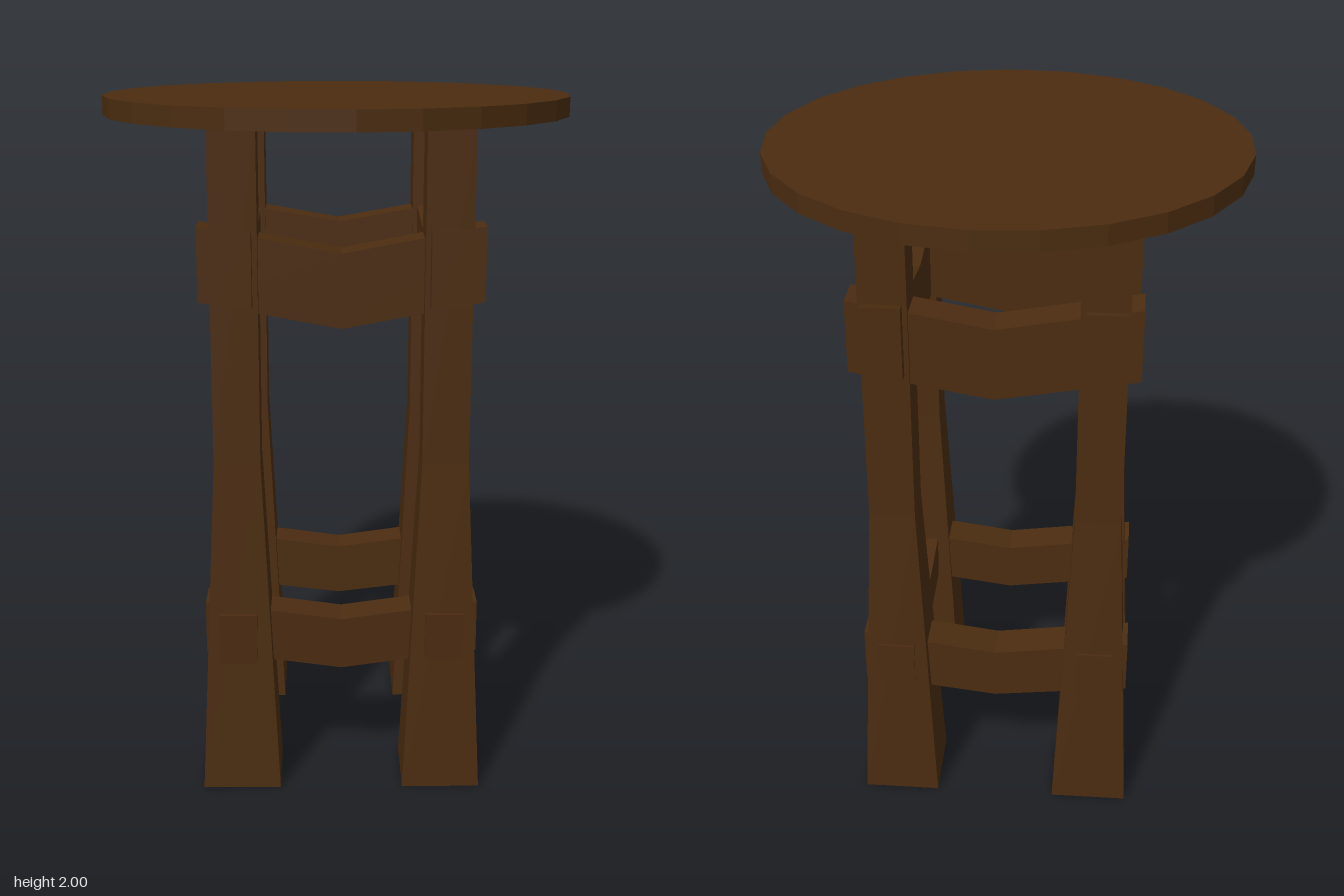
import * as THREE from 'three';

export function createModel() {
  const wood = new THREE.MeshStandardMaterial({ color: 0x4b2c10 });
  wood.name = 'dark wood';
  const bare = new THREE.MeshStandardMaterial({ color: 0xcccccc });
  bare.name = 'pale underside';
  // box faces: +x, -x, +y, -y (underside), +z, -z
  const boxMaterials = [wood, wood, wood, bare, wood, wood];
  const group = new THREE.Group();

  // Reshape a box by a rule applied to each vertex, then give it hard edges
  function shapedBox(name, segments, rule) {
    const box = new THREE.BoxGeometry(2, 2, 2, ...segments);
    const p = box.attributes.position;
    for (let i = 0; i < p.count; i++) {
      p.setXYZ(i, ...rule(p.getX(i), p.getY(i), p.getZ(i)));
    }
    const geometry = box.toNonIndexed();
    geometry.computeVertexNormals();
    const mesh = new THREE.Mesh(geometry, boxMaterials);
    mesh.name = name;
    group.add(mesh);
    return mesh;
  }

  // Round top with 25 sides
  const top = new THREE.CylinderGeometry(0.667, 0.667, 0.055, 25, 1, false, Math.PI / 2).toNonIndexed();
  top.computeVertexNormals();
  const tableTop = new THREE.Mesh(top, wood);
  tableTop.name = 'tableTop';
  tableTop.position.set(-0.003, 1.9725, 0.002);
  group.add(tableTop);

  // Four legs, straight above y = 1 and flared towards the foot
  for (const [side, lx] of [['Right', -0.288], ['Left', 0.302]]) {
    for (const [end, lz] of [['front', 0.3], ['back', -0.296]]) {
      const leg = shapedBox(end + side + 'Leg', [1, 2, 1], (x, y, z) => {
        const half = y < -0.5 ? 0.114 : 0.066;
        return [x * half, y < -0.5 ? 0 : y > 0.5 ? 1.95 : 1, z * half];
      });
      leg.position.set(lx, 0, lz);
    }
  }

  // Sagging rails that pass through the legs; mid and ends are [bottom, top] heights
  function rail(name, across, offset, mid, ends) {
    const r = shapedBox(name, [2, 1, 1], (x, y, z) => {
      const level = Math.abs(x) < 0.5 ? mid : ends;
      return [x * 0.398, level[y > 0 ? 1 : 0], z * 0.055];
    });
    if (across) {
      r.position.set(0.008, 0, offset);
    } else {
      r.rotation.y = Math.PI / 2;
      r.position.set(offset, 0, 0.006);
    }
  }

  const upper = [1.455, 1.665];
  rail('upperFrontRail', true, 0.275, [1.38, 1.59], upper);
  rail('upperBackRail', true, -0.298, [1.385, 1.595], upper);
  rail('upperRightRail', false, -0.292, [1.387, 1.597], upper);
  rail('upperLeftRail', false, 0.305, [1.41, 1.617], upper);

  rail('lowerFrontRail', true, 0.275, [0.35, 0.505], [0.405, 0.56]);
  rail('lowerBackRail', true, -0.298, [0.352, 0.512], [0.4, 0.567]);
  rail('lowerRightRail', false, -0.292, [0.365, 0.515], [0.4, 0.55]);
  rail('lowerLeftRail', false, 0.305, [0.388, 0.52], [0.41, 0.55]);

  return group;
}
